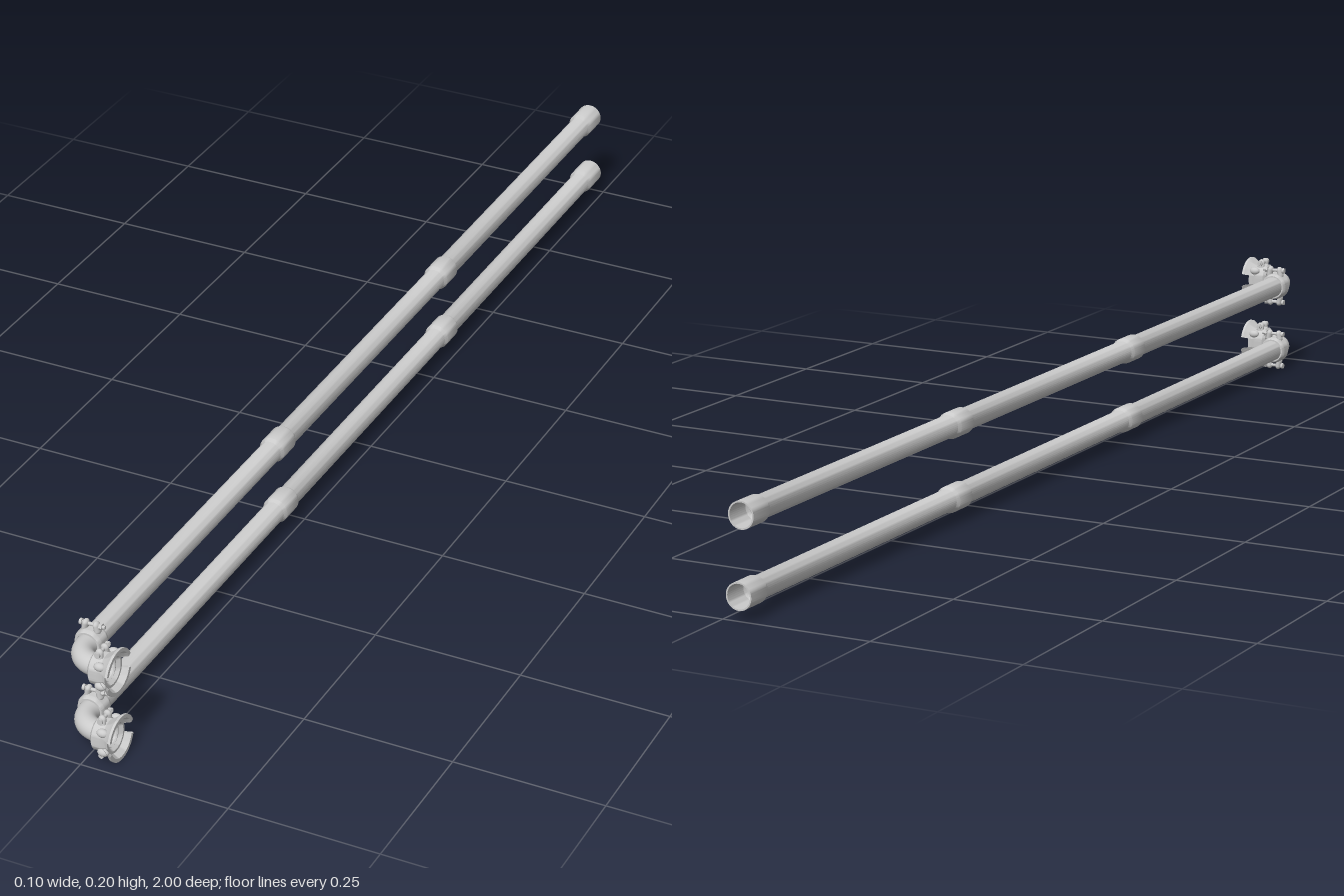
import * as THREE from 'three';
import { toCreasedNormals } from 'three/addons/utils/BufferGeometryUtils.js';

const material = new THREE.MeshStandardMaterial({ color: 0xcccccc, side: THREE.DoubleSide });

function part(name, geometry, parent, x = 0, y = 0, z = 0) {
  const mesh = new THREE.Mesh(geometry, material);
  mesh.name = name;
  mesh.position.set(x, y, z);
  parent.add(mesh);
  return mesh;
}

// Turned part from [radius, height] pairs; its axis is y
function turned(points, segments = 40, start = 0, length = Math.PI * 2) {
  const profile = points.map(([r, h]) => new THREE.Vector2(r, h));
  return toCreasedNormals(new THREE.LatheGeometry(profile, segments, start, length), 0.6);
}

// Hollow pipe along z with two joint sleeves and an open socket at the back
function pipe(back, sleeves) {
  const r = 0.0185, R = 0.022;
  const points = [[0.016, back + 0.05], [0.0195, back + 0.045], [0.0195, back], [R, back], [R, back + 0.045], [r, back + 0.052]];
  for (const z of sleeves) {
    points.push([r, z - 0.026], [R, z - 0.02], [R, z + 0.02], [r, z + 0.026]);
  }
  points.push([r, 0.9], [0.016, 0.9], [0.016, back + 0.05]);
  return turned(points).rotateX(Math.PI / 2);
}

// Two-shell clamp around z, with paired ears and cross bolts above and below
function clamp(name) {
  const group = new THREE.Group();
  group.name = name;
  const ring = turned([[0.018, -0.014], [0.021, -0.014], [0.024, -0.008], [0.024, 0.008], [0.021, 0.014], [0.018, 0.014]]);
  part('clampRing', ring.rotateX(Math.PI / 2), group);
  for (const s of [1, -1]) {
    for (const x of [-0.009, 0.011]) {
      const ear = part('clampEar', new THREE.CapsuleGeometry(0.0065, 0.009, 6, 16), group, x, s * 0.026, 0);
      ear.scale.set(0.8, 1, 1.1);
      ear.rotation.z = s * (x < 0 ? -0.2 : 0.2);
    }
    const y = s * 0.03;
    part('clampBolt', new THREE.CylinderGeometry(0.003, 0.003, 0.042, 12).rotateZ(Math.PI / 2), group, 0.004, y, 0);
    part('boltHead', new THREE.CylinderGeometry(0.005, 0.005, 0.004, 16).rotateZ(Math.PI / 2), group, -0.016, y, 0);
    part('boltNut', toCreasedNormals(new THREE.CylinderGeometry(0.0055, 0.0055, 0.005, 6), 0.5).rotateZ(Math.PI / 2), group, 0.018, y, 0);
  }
  return group;
}

// Coupling opening toward +x, with flared jaws
function coupling() {
  const group = new THREE.Group();
  group.name = 'hoseCoupling';
  const body = [[0.016, -0.014], [0.022, -0.014], [0.027, -0.01], [0.027, 0.004], [0.024, 0.012], [0.027, 0.018],
    [0.023, 0.018], [0.0165, 0.01], [0.016, -0.014]];
  part('couplingBody', turned(body).rotateZ(-Math.PI / 2), group);
  const jaw = [[0.022, 0.008], [0.026, 0.008], [0.032, 0.017], [0.038, 0.024], [0.038, 0.028], [0.032, 0.028], [0.028, 0.02], [0.022, 0.008]];
  const half = 1.25;
  for (const s of [1, -1]) {
    part('couplingJaw', turned(jaw, 24, s * Math.PI / 2 - half, half * 2).rotateZ(-Math.PI / 2), group);
    // rounded grip lugs on the shoulder
    for (const a of [-0.9, 0.9]) {
      const lug = part('gripLug', new THREE.SphereGeometry(0.007, 16, 12), group,
        0.008, s * 0.028 * Math.cos(a), 0.028 * Math.sin(a));
      lug.scale.set(1.4, 1, 1);
    }
  }
  const bracket = clamp('couplingClamp');
  bracket.rotation.y = Math.PI / 2;
  bracket.scale.set(0.9, 1.03, 0.9);
  group.add(bracket);
  return group;
}

// Pipe bend from the z direction round to +x
function elbow() {
  const path = new THREE.CurvePath();
  const v = (x, z) => new THREE.Vector3(x, 0, z);
  path.add(new THREE.LineCurve3(v(0, 0.88), v(0, 0.921)));
  const k = 0.038 * 0.5523;
  path.add(new THREE.CubicBezierCurve3(v(0, 0.921), v(0, 0.921 + k), v(0.038 - k, 0.959), v(0.038, 0.959)));
  path.add(new THREE.LineCurve3(v(0.038, 0.959), v(0.054, 0.959)));
  return new THREE.TubeGeometry(path, 40, 0.0175, 32);
}

export function createModel() {
  const model = new THREE.Group();
  model.name = 'pipePair';
  const lines = [
    { name: 'lowerPipe', y: 0.041, back: -1, sleeves: [-0.341, 0.28] },
    { name: 'upperPipe', y: 0.162, back: -0.99, sleeves: [-0.335, 0.288] },
  ];
  for (const { name, y, back, sleeves } of lines) {
    const line = new THREE.Group();
    line.name = name;
    line.position.set(-0.028, y, 0);
    part('pipe', pipe(back, sleeves), line);
    part('elbow', elbow(), line);
    const collar = clamp('pipeClamp');
    collar.position.z = 0.905;
    line.add(collar);
    const end = coupling();
    end.position.set(0.05, 0, 0.96);
    line.add(end);
    model.add(line);
  }
  return model;
}
